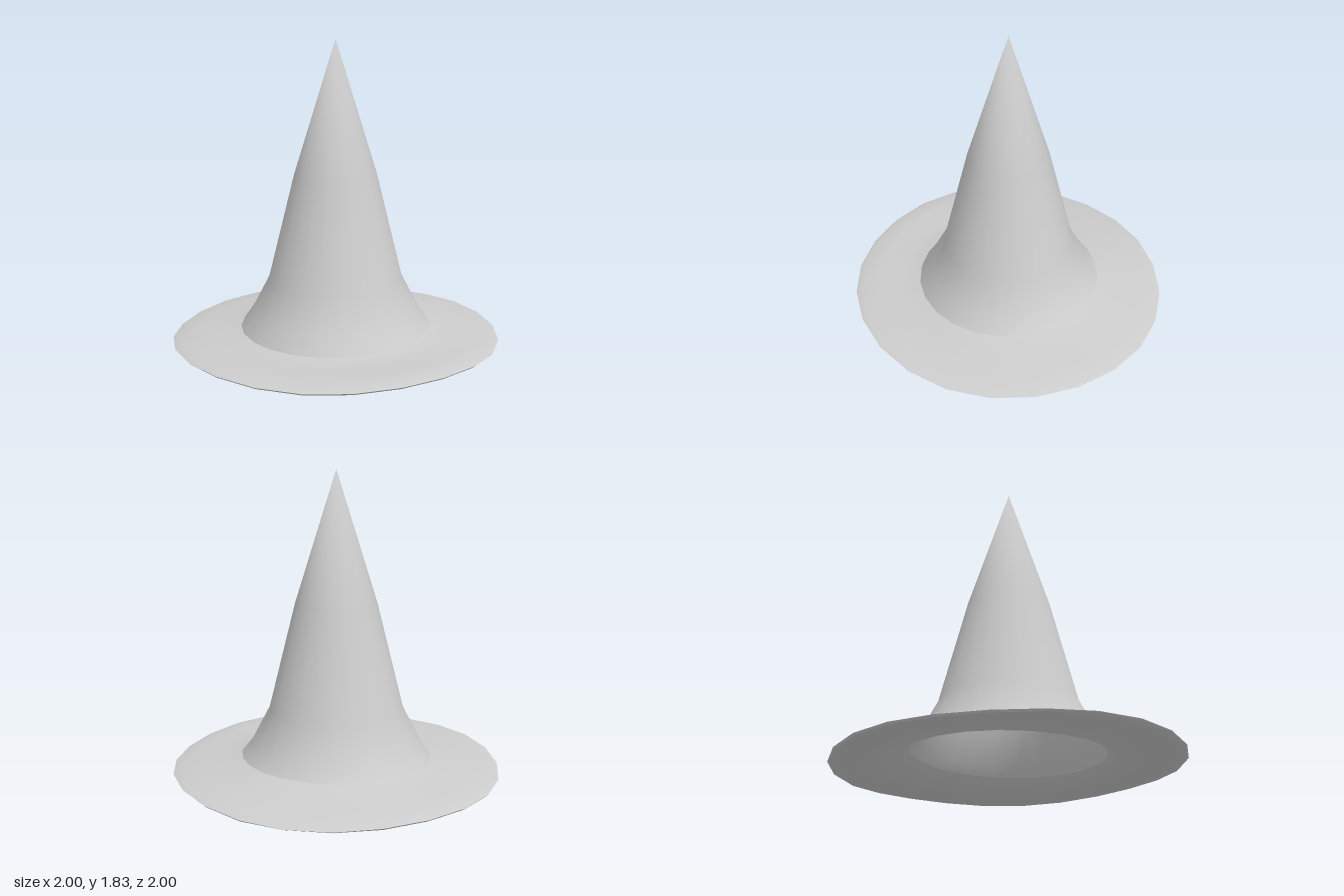
import * as THREE from 'three';
import { mergeVertices, toCreasedNormals } from 'three/addons/utils/BufferGeometryUtils.js';

const SIDES = 24;
const material = new THREE.MeshStandardMaterial({ color: 0xcccccc, side: THREE.DoubleSide });

// Lathe a profile of [radius, y] pairs, then lift each vertex by a rule
function wavyLathe(profile, lift, crease) {
  let geo = new THREE.LatheGeometry(profile.map(([r, y]) => new THREE.Vector2(r, y)), SIDES);
  geo.deleteAttribute('uv');
  geo.deleteAttribute('normal');
  const p = geo.attributes.position;
  for (let i = 0; i < p.count; i++) {
    const x = p.getX(i), z = p.getZ(i);
    p.setY(i, Math.max(0, p.getY(i) + lift(Math.hypot(x, z), Math.atan2(z, x))));
  }
  geo = mergeVertices(geo, 1e-4);
  geo.computeVertexNormals();
  return crease ? toCreasedNormals(geo, crease) : geo;
}

function add(group, name, geometry) {
  const mesh = new THREE.Mesh(geometry, material);
  mesh.name = name;
  group.add(mesh);
}

// Height waves: a tilt and ripple at the rim, fading into a slight rise at the back of the crown
function wave(r, a) {
  const t = THREE.MathUtils.smoothstep(r, 0.58, 1);
  const rim = 0.024 * Math.cos(a) + 0.008 * Math.sin(a) + 0.008 * Math.cos(4 * a);
  const foot = -0.012 * Math.sin(a) - 0.004 * Math.cos(a);
  return THREE.MathUtils.lerp(foot, rim, t);
}

export function createModel() {
  const hat = new THREE.Group();
  hat.name = 'pointedHat';

  // Tall hollow crown, flaring at the foot
  const crown = [[0.585, 0.093], [0.52, 0.18], [0.41, 0.39], [0.25, 1.03], [0, 1.83]];
  add(hat, 'crown', wavyLathe(crown, (r, a) => (r > 0.55 ? wave(r, a) : 0)));

  // Thin wavy brim: inner lip, underside, rim, top
  const brim = [
    [0.56, 0.095], [0.63, 0.045], [0.8, 0.035], [0.93, 0.027], [0.99, 0.026],
    [1, 0.036], [0.97, 0.047], [0.86, 0.062], [0.7, 0.075], [0.61, 0.088], [0.56, 0.1],
  ];
  add(hat, 'brim', wavyLathe(brim, wave, 0.8));

  return hat;
}
